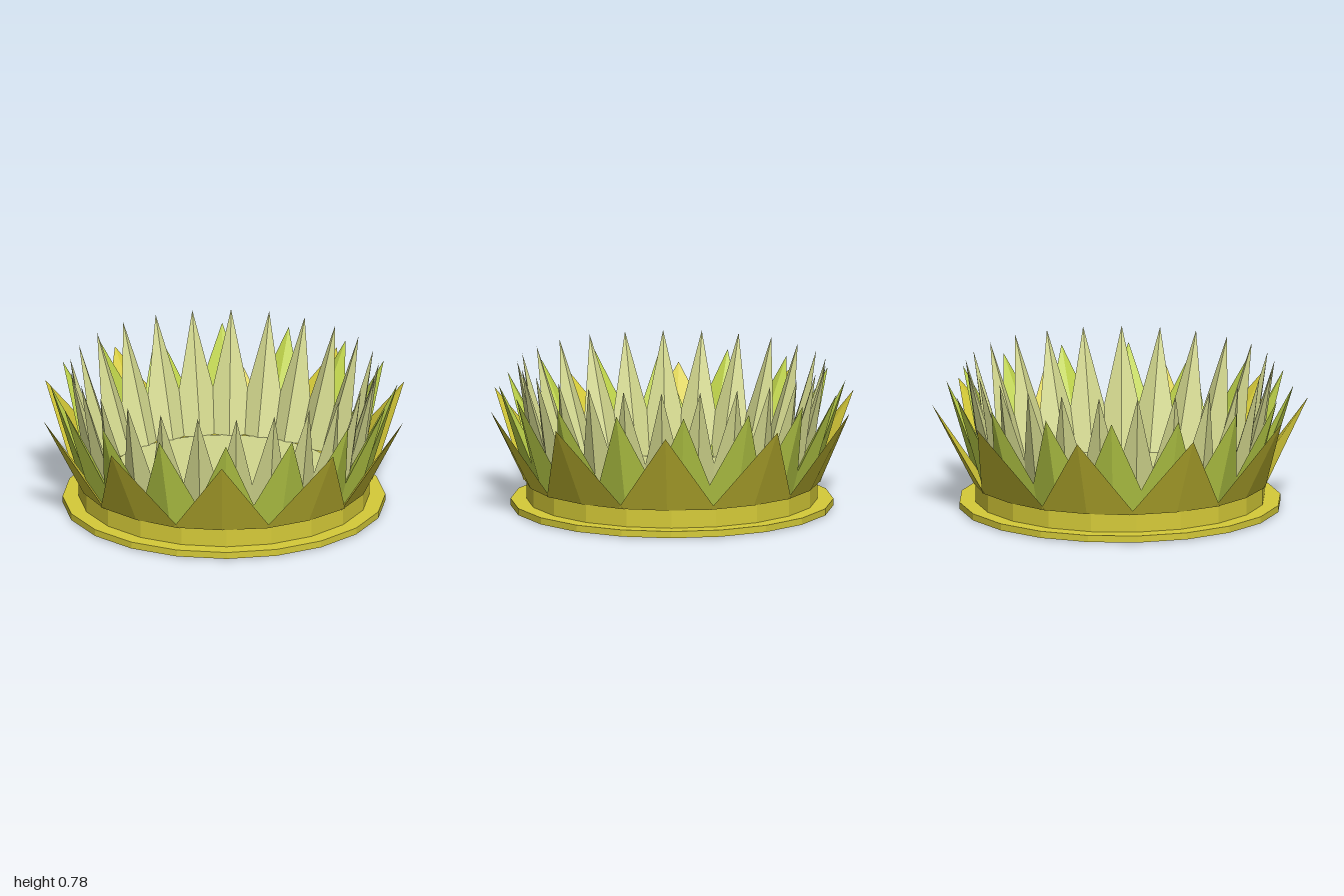
import * as THREE from 'three';

const paint = (name, color) => {
  const m = new THREE.MeshStandardMaterial({ color });
  m.name = name;
  return m;
};

// Faceted normals for every flat face
const faceted = (geometry) => {
  const g = geometry.toNonIndexed();
  g.computeVertexNormals();
  return g;
};

// Four-sided spike leaning outward, its base centred at radius r
function petalGeometry({ r, halfWidth, depth, baseY, tipR, tipY }) {
  const height = tipY - baseY;
  const g = new THREE.ConeGeometry(1, 1, 4, 1);
  g.translate(0, 0.5, 0);
  const p = g.attributes.position;
  for (let i = 0; i < p.count; i++) {
    const t = p.getY(i);
    p.setXYZ(i, p.getX(i) * halfWidth, baseY + t * height,
      p.getZ(i) * depth + r + (tipR - r) * t);
  }
  return faceted(g);
}

// Ring of equal petals; the first one stands startDeg away from +x towards +z
function petalRing(name, material, count, startDeg, shape) {
  const ring = new THREE.Group();
  ring.name = name + 's';
  const geometry = petalGeometry(shape);
  for (let i = 0; i < count; i++) {
    const petal = new THREE.Mesh(geometry, material);
    petal.name = name;
    petal.rotation.y = Math.PI / 2 - THREE.MathUtils.degToRad(startDeg + i * 360 / count);
    ring.add(petal);
  }
  return ring;
}

function drum(name, material, radius, y0, y1, sides) {
  const g = new THREE.CylinderGeometry(radius, radius, y1 - y0, sides);
  g.translate(0, (y0 + y1) / 2, 0);
  const mesh = new THREE.Mesh(faceted(g), material);
  mesh.name = name;
  return mesh;
}

export function createModel() {
  const yellow = paint('golden yellow', 0xd6cb38);
  const green = paint('lime green', 0xbfd44a);
  const pale = paint('pale green', 0xd3d88e);

  const model = new THREE.Group();
  model.name = 'flowerCrown';

  // Stepped base with the pale core running through it
  model.add(
    drum('baseDisc', yellow, 0.855, 0.004, 0.04, 20),
    drum('baseRing', yellow, 0.77, 0.04, 0.138, 20),
    drum('core', pale, 0.625, 0, 0.142, 40),
  );

  // Three rings of petals, from the outside in
  model.add(
    petalRing('outerPetal', yellow, 10, 1.7,
      { r: 0.742, halfWidth: 0.26, depth: 0.036, baseY: 0.137, tipR: 1, tipY: 0.57 }),
    petalRing('middlePetal', green, 16, -4.1,
      { r: 0.7, halfWidth: 0.2, depth: 0.065, baseY: 0.137, tipR: 0.92, tipY: 0.665 }),
    petalRing('innerPetal', pale, 25, 90,
      { r: 0.67, halfWidth: 0.145, depth: 0.06, baseY: 0.137, tipR: 0.82, tipY: 0.78 }),
  );
  return model;
}
